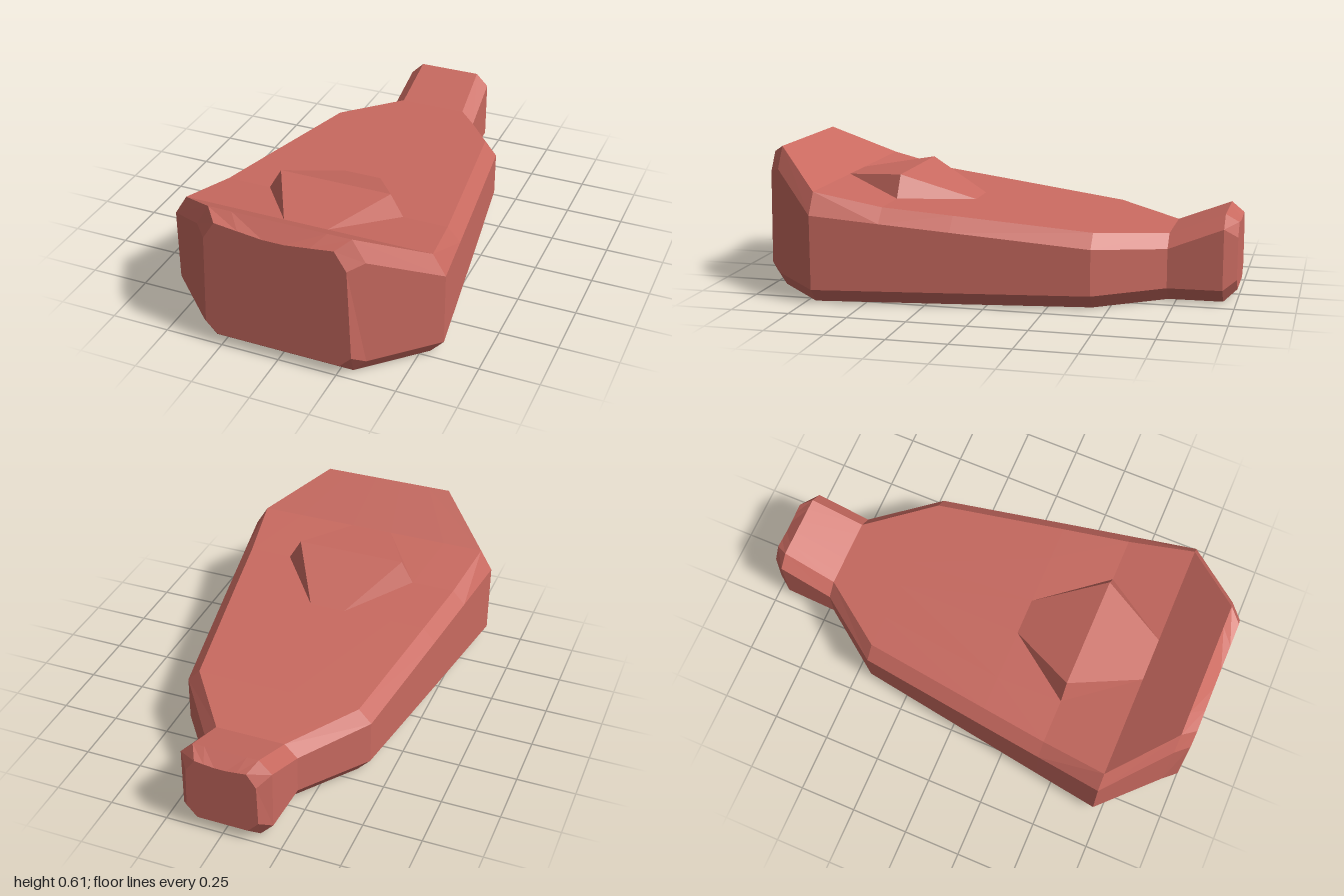
import * as THREE from 'three';

// Half cross-sections, front to back: z, then [x, y] for bottom edge, lower side,
// shoulder, top edge, ridge foot and ridge crest.
const SECTIONS = [
  [1.0, [0.265, 0.05], [0.315, 0.1], [0.3, 0.5], [0.25, 0.58], [0.15, 0.5675], [0.045, 0.555]],
  [0.945, [0.3, 0], [0.355, 0.06], [0.355, 0.52], [0.3, 0.612], [0.2, 0.612], [0.06, 0.612]],
  [0.715, [0.535, 0], [0.59, 0.06], [0.59, 0.375], [0.535, 0.465], [0.355, 0.465], [0.095, 0.465]],
  [0.43, [0.492, 0], [0.547, 0.06], [0.547, 0.345], [0.492, 0.405], [0.3, 0.405], [0.245, 0.5]],
  [0.14, [0.448, 0], [0.503, 0.06], [0.503, 0.315], [0.448, 0.375], [0.3, 0.375], [0.08, 0.375]],
  [-0.43, [0.36, 0], [0.415, 0.06], [0.415, 0.255], [0.36, 0.315], [0.22, 0.315], [0.06, 0.315]],
  [-0.715, [0.15, 0], [0.205, 0.06], [0.205, 0.228], [0.15, 0.284], [0.1, 0.284], [0.03, 0.284]],
  [-0.945, [0.14, 0], [0.195, 0.06], [0.195, 0.32], [0.14, 0.375], [0.09, 0.375], [0.03, 0.375]],
  [-1.0, [0.11, 0.05], [0.155, 0.1], [0.15, 0.28], [0.11, 0.338], [0.07, 0.333], [0.025, 0.328]],
];

// Mirrors a half section into a closed ring, counter-clockwise seen from the front
function ring([z, ...half]) {
  const right = half.map(([x, y]) => [x, y, z]);
  const left = half.map(([x, y]) => [-x, y, z]).reverse();
  return [...right, ...left];
}

function bodyGeometry() {
  const rings = SECTIONS.map(ring);
  const n = rings[0].length;
  const pos = [];
  const tri = (a, b, c) => pos.push(...a, ...b, ...c);

  // Skin between neighbouring rings, with mirrored diagonals
  for (let i = 0; i < rings.length - 1; i++) {
    for (let j = 0; j < n; j++) {
      const k = (j + 1) % n;
      const a = rings[i][j], b = rings[i][k], c = rings[i + 1][k], d = rings[i + 1][j];
      if ((i < 3) === (j < n / 2)) {
        tri(a, d, b);
        tri(d, c, b);
      } else {
        tri(a, d, c);
        tri(a, c, b);
      }
    }
  }

  // Flat end caps
  const cap = (r, front) => {
    const mid = [0, (r[0][1] + r[3][1]) / 2, r[0][2]];
    for (let j = 0; j < n; j++) {
      const p = r[j], q = r[(j + 1) % n];
      if (front) tri(mid, p, q);
      else tri(mid, q, p);
    }
  };
  cap(rings[0], true);
  cap(rings[rings.length - 1], false);

  const geometry = new THREE.BufferGeometry();
  geometry.setAttribute('position', new THREE.Float32BufferAttribute(pos, 3));
  geometry.computeVertexNormals();
  return geometry;
}

export function createModel() {
  const group = new THREE.Group();
  group.name = 'taperedBlock';
  const material = new THREE.MeshStandardMaterial({ color: 0xc96a60, flatShading: true });
  const body = new THREE.Mesh(bodyGeometry(), material);
  body.name = 'body';
  group.add(body);
  return group;
}
